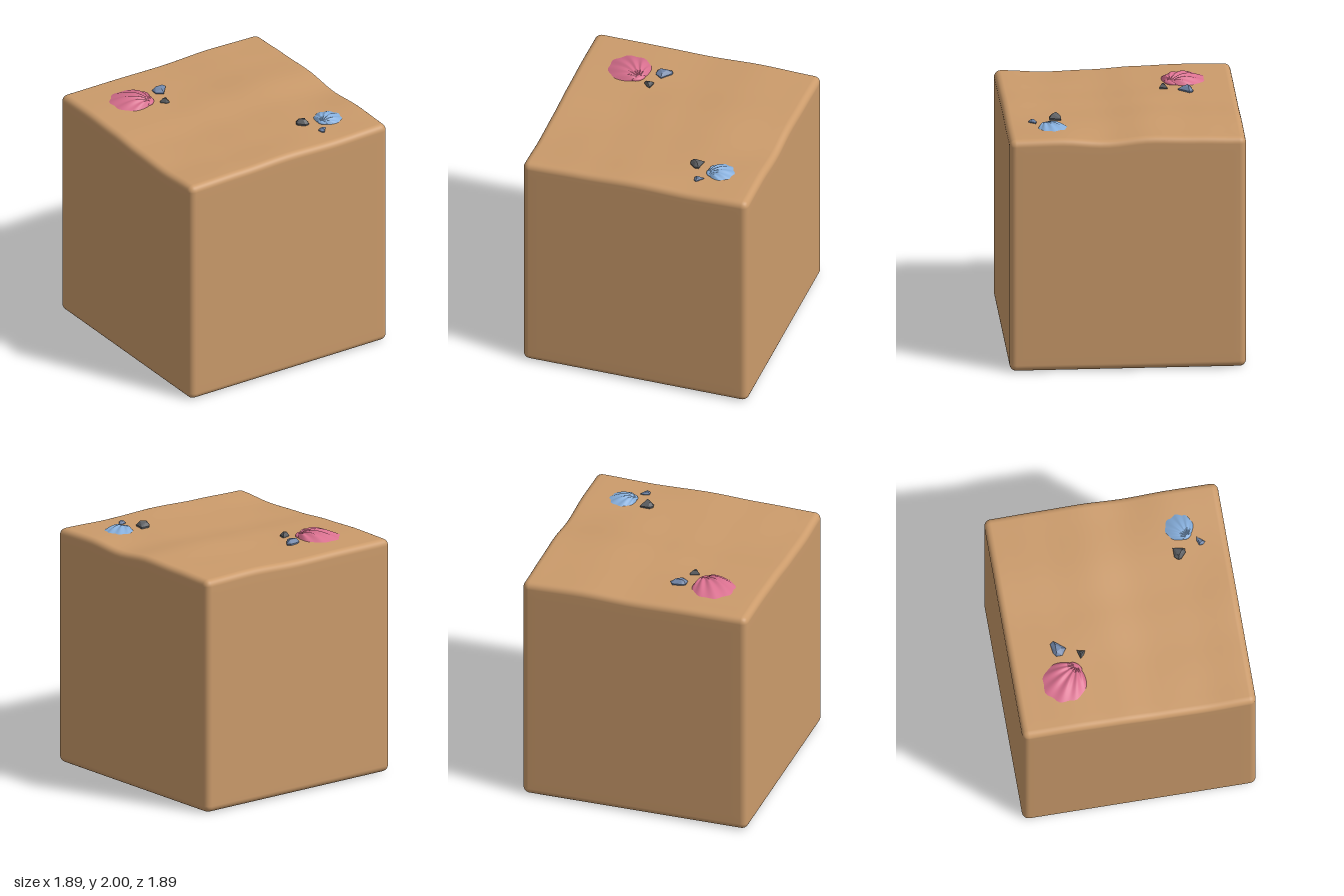
import * as THREE from 'three';
import { mergeVertices } from 'three/addons/utils/BufferGeometryUtils.js';
import { ConvexGeometry } from 'three/addons/geometries/ConvexGeometry.js';
import { ParametricGeometry } from 'three/addons/geometries/ParametricGeometry.js';

const HALF = 0.945, TOP = 1.94, ROUND = 0.055;

// Sand heights: rows run back to front, columns run from -x to +x
const HEIGHTS = [
  [1.935, 1.935, 1.93, 1.945, 1.935],
  [1.94, 1.94, 1.935, 1.95, 1.945],
  [1.93, 1.93, 1.945, 1.965, 1.955],
  [1.91, 1.91, 1.925, 1.94, 1.925],
  [1.90, 1.915, 1.93, 1.94, 1.95],
  [1.92, 1.93, 1.945, 1.935, 1.945],
];

function sandHeight(x, z) {
  const cell = (v, count) => {
    const f = THREE.MathUtils.clamp((v + 0.9) / 1.8, 0, 1) * (count - 1);
    const i = Math.min(Math.floor(f), count - 2);
    return [i, THREE.MathUtils.smoothstep(f - i, 0, 1)];
  };
  const [c, u] = cell(x, 5), [r, v] = cell(z, 6);
  const { lerp } = THREE.MathUtils;
  return lerp(lerp(HEIGHTS[r][c], HEIGHTS[r][c + 1], u), lerp(HEIGHTS[r + 1][c], HEIGHTS[r + 1][c + 1], u), v);
}

// Cube with rounded edges whose upper face follows the sand heights
function blockGeometry() {
  let geo = new THREE.BoxGeometry(2, 2, 2, 32, 32, 32);
  geo.deleteAttribute('uv');
  geo.deleteAttribute('normal');
  geo = mergeVertices(geo, 1e-4);
  const half = new THREE.Vector3(HALF, TOP / 2, HALF);
  const pos = geo.attributes.position;
  const p = new THREE.Vector3(), core = new THREE.Vector3(), out = new THREE.Vector3();
  for (let i = 0; i < pos.count; i++) {
    p.fromBufferAttribute(pos, i);
    for (const axis of ['x', 'y', 'z']) {
      const k = Math.abs(p[axis]), s = Math.sign(p[axis]), inner = half[axis] - ROUND;
      core[axis] = s * Math.min(k / 0.75, 1) * inner;
      out[axis] = s * Math.max(0, (k - 0.75) / 0.25);
    }
    p.copy(core).addScaledVector(out.normalize(), ROUND);
    pos.setXYZ(i, p.x, (p.y + TOP / 2) * sandHeight(p.x, p.z) / TOP, p.z);
  }
  geo.computeVertexNormals();
  return geo;
}

// Ribbed fan shell lying on the sand, spreading along local +x from its hinge
function shell(name, color, x, z, angle, length, height) {
  const group = new THREE.Group();
  group.name = name;
  const material = new THREE.MeshStandardMaterial({ color, side: THREE.DoubleSide });
  const fan = new ParametricGeometry((t, s, target) => {
    const a = (t - 0.5) * 2.9;
    const rib = Math.cos(t * Math.PI * 14);
    const reach = length * Math.pow(Math.cos(a), 0.9) * (1 + 0.015 * rib) * s;
    const dome = Math.sin(Math.PI * Math.pow(s, 0.8)) * Math.pow(Math.cos(a), 0.6);
    target.set(reach * Math.cos(a), height * dome * (1 + 0.12 * rib) - 0.008 + 0.016 * (1 - s), reach * Math.sin(a));
  }, 84, 18);
  fan.computeVertexNormals();
  const valve = new THREE.Mesh(fan, material);
  valve.name = 'ribbedValve';
  const hinge = new THREE.Mesh(new THREE.SphereGeometry(1, 20, 12), material);
  hinge.name = 'shellHinge';
  hinge.scale.set(length * 0.1, height * 0.42, length * 0.17);
  hinge.position.set(length * 0.05, 0.006, 0);
  group.add(valve, hinge);
  group.position.set(x, sandHeight(x, z), z);
  group.rotation.y = angle;
  return group;
}

// Faceted stone: a ground outline of [x, z] corners tapering to a smaller, tilted top
function stone(name, color, outline, top) {
  const n = outline.length;
  const cx = outline.reduce((s, c) => s + c[0], 0) / n;
  const cz = outline.reduce((s, c) => s + c[1], 0) / n;
  const ground = sandHeight(cx, cz), rise = top - ground;
  const points = [];
  outline.forEach(([x, z], i) => {
    const ring = (k, y) => points.push(new THREE.Vector3(cx + (x - cx) * k, y, cz + (z - cz) * k));
    ring(0.85, ground - 0.02);
    ring(1, ground + rise * 0.3);
    ring(0.5, top - (i % 3) * rise * 0.15);
  });
  const mesh = new THREE.Mesh(new ConvexGeometry(points), new THREE.MeshStandardMaterial({ color, flatShading: true }));
  mesh.name = name;
  return mesh;
}

export function createModel() {
  const model = new THREE.Group();
  model.name = 'sandBlock';

  const block = new THREE.Mesh(blockGeometry(), new THREE.MeshStandardMaterial({ color: 0xcb9b6b }));
  block.name = 'sandCube';
  model.add(block);

  // Shells
  model.add(
    shell('pinkShell', 0xd9708f, -0.415, -0.42, Math.PI * 0.75, 0.36, 0.052),
    shell('blueShell', 0x86aedb, 0.515, 0.635, Math.PI / 6, 0.245, 0.036),
  );

  // Stones
  const slate = 0x7186a8, grey = 0x5e6063;
  model.add(
    stone('largeSlateStone', slate, [[-0.31, -0.57], [-0.28, -0.59], [-0.2, -0.6], [-0.18, -0.57], [-0.255, -0.48], [-0.31, -0.52]], 1.978),
    stone('smallGreyStone', grey, [[-0.36, -0.38], [-0.285, -0.4], [-0.3, -0.335], [-0.325, -0.345]], 1.975),
    stone('largeGreyStone', grey, [[0.335, 0.53], [0.36, 0.5], [0.44, 0.5], [0.42, 0.595], [0.385, 0.595], [0.34, 0.555]], 1.987),
    stone('smallSlateStone', slate, [[0.43, 0.715], [0.47, 0.7], [0.505, 0.705], [0.455, 0.765], [0.435, 0.75]], 1.963),
  );
  return model;
}
